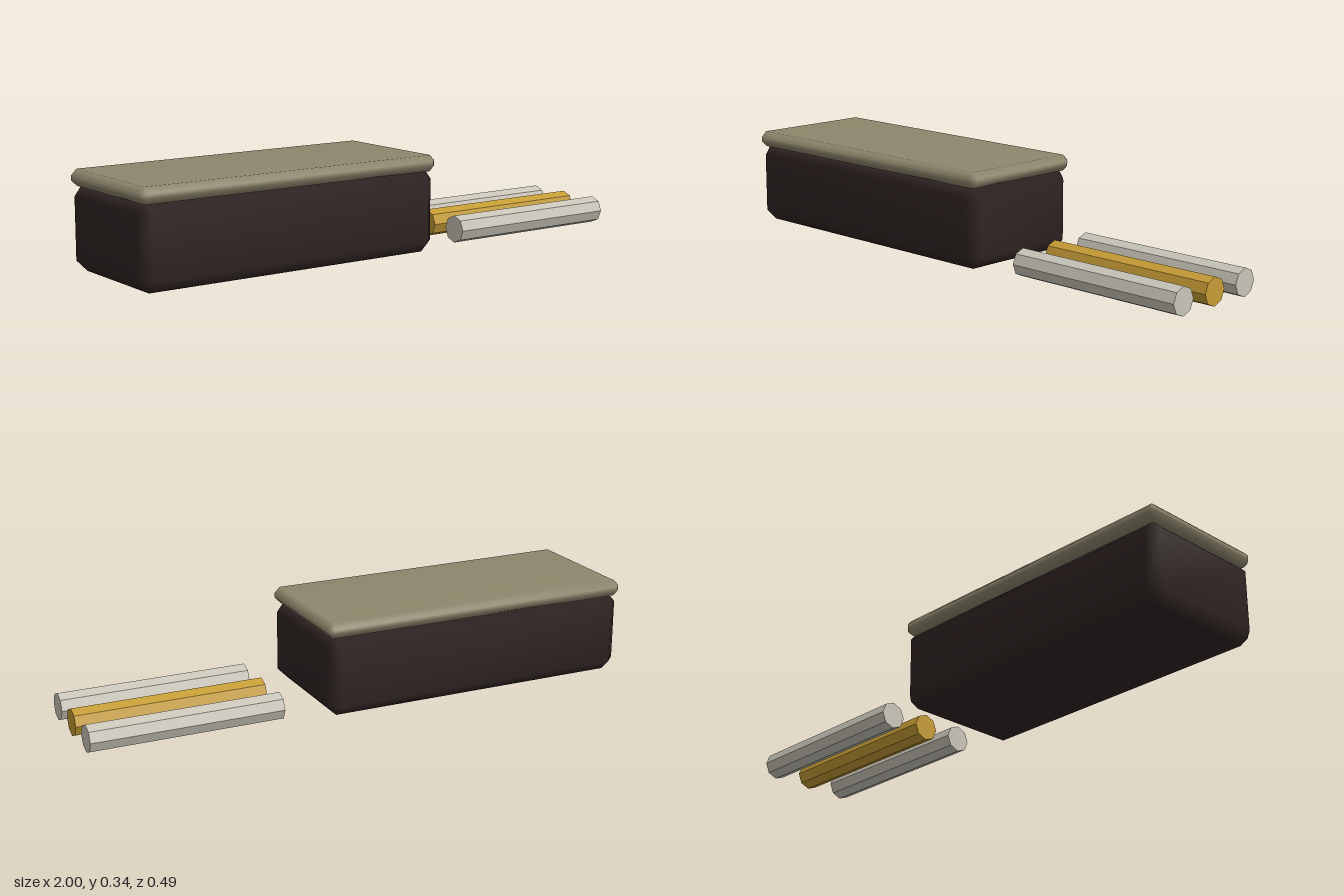
import * as THREE from 'three';
import { mergeVertices } from 'three/addons/utils/BufferGeometryUtils.js';
import { ConvexGeometry } from 'three/addons/geometries/ConvexGeometry.js';

const material = (name, color) => {
  const m = new THREE.MeshStandardMaterial({ color });
  m.name = name;
  return m;
};

// Box with chamfered edges and softly blended normals, centred on x and z
function chamferedBox(width, y0, y1, depth, bottom, top) {
  const points = [];
  const side = bottom;
  for (const sx of [-1, 1]) for (const sz of [-1, 1]) {
    const x = sx * width / 2, z = sz * depth / 2;
    for (const [y, c, dir] of [[y0, bottom, 1], [y1, top, -1]]) {
      points.push(
        new THREE.Vector3(x - sx * c, y, z - sz * c),
        new THREE.Vector3(x, y + dir * c, z - sz * side),
        new THREE.Vector3(x - sx * side, y + dir * c, z));
    }
  }
  const geometry = new ConvexGeometry(points);
  geometry.deleteAttribute('normal');
  const smooth = mergeVertices(geometry, 1e-5);
  smooth.computeVertexNormals();
  return smooth;
}

export function createModel() {
  const model = new THREE.Group();
  const darkBrown = material('dark brown', 0x2e2322);
  const olive = material('olive grey', 0x8e866c);
  const silver = material('pale silver', 0xc8c4b8);
  const gold = material('gold', 0xc49b35);
  for (const m of [silver, gold]) m.flatShading = true;

  const add = (name, geometry, mat, x, y, z) => {
    const mesh = new THREE.Mesh(geometry, mat);
    mesh.name = name;
    mesh.position.set(x, y, z);
    model.add(mesh);
  };

  // Case and lid
  add('caseBody', chamferedBox(1.166, 0, 0.285, 0.49, 0.04, 0.03), darkBrown, -0.417, 0, 0);
  add('caseLid', chamferedBox(1.166, 0.285, 0.342, 0.49, 0.02, 0.02), olive, -0.417, 0, 0);

  // Three octagonal rods lying beside the case
  const rod = new THREE.CylinderGeometry(0.049, 0.049, 0.684, 8).rotateZ(Math.PI / 2);
  [['frontRod', 0.157, silver], ['middleRod', 0, gold], ['backRod', -0.157, silver]]
    .forEach(([name, z, mat]) => add(name, rod, mat, 0.658, 0.05, z));

  return model;
}
